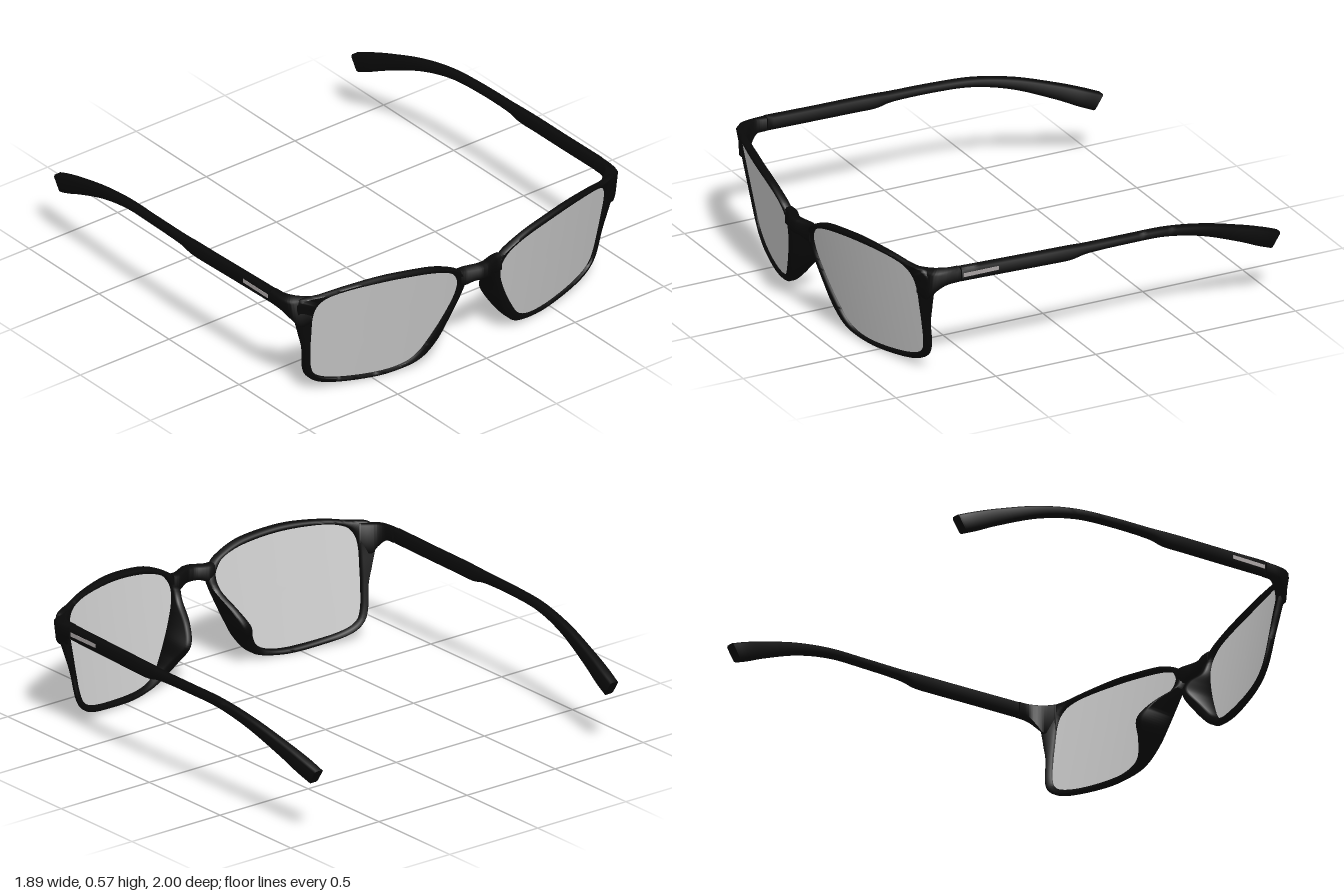
import * as THREE from 'three';
import { toCreasedNormals } from 'three/addons/utils/BufferGeometryUtils.js';

const black = new THREE.MeshStandardMaterial({ color: 0x090909 });
const plateGrey = new THREE.MeshStandardMaterial({ color: 0xa8a2a2 });
const lensGrey = new THREE.MeshStandardMaterial({ color: 0xcccccc, side: THREE.DoubleSide });
const V = (x, y, z) => new THREE.Vector3(x, y, z);

// Front surface of the frame: wraps around the face and leans back downwards.
const bend = (x, y) => 0.98 - 0.23 * x * x + 0.2 * (y - 0.5);

// Rim control points: inner x, y, outer x, y, depth (deeper at the nose pad).
const RIM = [
  [.14, .455, .105, .462, .04], [.18, .49, .15, .5, .04], [.27, .52, .26, .545, .04],
  [.4, .54, .4, .567, .04], [.53, .548, .53, .574, .04], [.68, .542, .68, .563, .036],
  [.77, .52, .79, .543, .034], [.81, .48, .885, .525, .034], [.822, .42, .9, .455, .034],
  [.817, .33, .868, .34, .034], [.81, .24, .842, .25, .032], [.797, .145, .826, .135, .03],
  [.772, .092, .795, .075, .03], [.71, .06, .73, .037, .03], [.6, .039, .61, .015, .034],
  [.45, .027, .45, .003, .04], [.345, .038, .32, .017, .04], [.28, .075, .245, .05, .05],
  [.232, .14, .187, .12, .1], [.19, .21, .15, .2, .16], [.155, .28, .117, .285, .13],
  [.128, .35, .09, .36, .06], [.122, .41, .08, .41, .04],
];

const spline = (points, closed) => new THREE.CatmullRomCurve3(points, closed, 'catmullrom', 0.5);

// Indexed geometry whose faces are turned outwards by the sign of its volume.
function solid(points, index) {
  let volume = 0;
  const cross = V(0, 0, 0);
  for (let i = 0; i < index.length; i += 3) {
    volume += points[index[i]].dot(cross.crossVectors(points[index[i + 1]], points[index[i + 2]]));
  }
  if (volume < 0) index.reverse();
  const g = new THREE.BufferGeometry().setFromPoints(points);
  g.setIndex(index);
  return toCreasedNormals(g, 0.95);
}

// Smooth loft through four-cornered sections with bevelled corners.
function loft(sections, { closed = false, steps = 40, bevel = 0.008, side = 1 } = {}) {
  const rails = [0, 1, 2, 3].map(k => spline(sections.map(s => s[k]), closed));
  const rings = closed ? steps : steps + 1;
  const points = [], index = [];
  for (let i = 0; i < rings; i++) {
    const c = rails.map(r => r.getPoint(i / steps));
    for (let k = 0; k < 4; k++) {
      const a = c[k], b = c[(k + 1) % 4];
      const t = Math.min(0.3, bevel / a.distanceTo(b));
      points.push(a.clone().lerp(b, t), a.clone().lerp(b, 1 - t));
    }
  }
  for (let i = 0; i < steps; i++) {
    const p = i * 8, q = ((i + 1) % rings) * 8;
    for (let k = 0; k < 8; k++) {
      const n = (k + 1) % 8;
      index.push(p + k, p + n, q + n, p + k, q + n, q + k);
    }
  }
  if (!closed) {
    const e = steps * 8;
    for (let k = 1; k < 7; k++) index.push(0, k + 1, k, e, e + k, e + k + 1);
  }
  points.forEach(p => { p.x *= side; });
  return solid(points, index);
}

function rim(side) {
  const sections = RIM.map(([ix, iy, ox, oy, d]) => [
    V(ix, iy, bend(ix, iy)), V(ox, oy, bend(ox, oy)),
    V(ox, oy, bend(ox, oy) - d), V(ix, iy, bend(ix, iy) - d),
  ]);
  return loft(sections, { closed: true, steps: 184, side });
}

// Curved lens filling the rim: concentric rings around its middle.
function lens(side) {
  const edge = spline(RIM.map(([x, y]) => V(x, y, 0)), true);
  const N = 92, R = 10, points = [], index = [];
  for (let r = 0; r <= R; r++) {
    for (let i = 0; i < N; i++) {
      const p = edge.getPoint(i / N), s = 1.008 * r / R;
      const x = 0.48 + (p.x - 0.48) * s, y = 0.29 + (p.y - 0.29) * s;
      points.push(V(x * side, y, bend(x, y) - 0.014));
    }
  }
  for (let r = 0; r < R; r++) {
    for (let i = 0; i < N; i++) {
      const a = r * N + i, b = r * N + (i + 1) % N, c = b + N, d = a + N;
      if (side > 0) index.push(a, d, c); else index.push(a, c, d);
      if (r > 0) { if (side > 0) index.push(a, c, b); else index.push(a, b, c); }
    }
  }
  const g = new THREE.BufferGeometry().setFromPoints(points);
  g.setIndex(index);
  g.computeVertexNormals();
  return g;
}

// Bridge sections: x, top, bottom, front, back.
function bridge() {
  const half = [[.115, .476, .395, .966, .924], [.085, .474, .395, .97, .922],
    [.05, .475, .408, .985, .932], [.025, .477, .411, .995, .942]];
  const rows = [...half.map(([x, ...r]) => [-x, ...r]), [0, .477, .411, .998, .945], ...half.reverse()];
  return loft(rows.map(([x, t, b, f, k]) => [V(x, t, f), V(x, t, k), V(x, b, k), V(x, b, f)]));
}

// End piece turning the corner:
// outer x, z, inner x, z, outer top, inner top, bottom outer x, bottom.
function endPiece(side) {
  const rows = [[.84, .808, .82, .785, .53, .53, .83, .4], [.895, .79, .86, .75, .522, .532, .88, .385],
    [.928, .765, .882, .725, .52, .535, .915, .425], [.939, .715, .895, .69, .522, .535, .937, .46],
    [.939, .642, .895, .642, .527, .532, .939, .465]];
  return loft(rows.map(([ox, oz, ix, iz, ot, it, bx, b]) =>
    [V(ox, ot, oz), V(ix, it, iz), V(ix, b, iz), V(bx, b, oz)]), { side });
}

// Temple: top z, y, bottom z, y, middle x, half width.
function temple(side) {
  const rows = [[.637, .53, .637, .465, .918, .021], [.4, .524, .4, .46, .92, .021],
    [.2, .52, .2, .456, .923, .021], [.09, .517, .09, .455, .923, .021],
    [0, .513, 0, .47, .923, .021], [-.2, .51, -.2, .472, .92, .021],
    [-.4, .501, -.39, .462, .91, .021], [-.6, .465, -.58, .418, .892, .022],
    [-.8, .405, -.77, .343, .866, .024], [-.92, .362, -.88, .292, .849, .026],
    [-1, .33, -.955, .26, .838, .024]];
  return loft(rows.map(([tz, ty, bz, by, x, w]) =>
    [V(x + w, ty, tz), V(x - w, ty, tz), V(x - w, by, bz), V(x + w, by, bz)]),
    { steps: 80, side });
}

export function createModel() {
  const model = new THREE.Group();
  const add = (name, geometry, material = black) => {
    const mesh = new THREE.Mesh(geometry, material);
    mesh.name = name;
    model.add(mesh);
    return mesh;
  };
  add('bridge', bridge());
  for (const [label, side] of [['left', 1], ['right', -1]]) {
    add(label + 'Rim', rim(side));
    add(label + 'Lens', lens(side), lensGrey);
    add(label + 'EndPiece', endPiece(side));
    add(label + 'Temple', temple(side));
    // Hinge core joining end piece and temple
    const hinge = add(label + 'Hinge', new THREE.BoxGeometry(0.02, 0.055, 0.04));
    hinge.position.set(side * 0.917, 0.497, 0.64);
    // Inlaid strip on the outside of the temple
    const plate = add(label + 'TemplePlate', new THREE.BoxGeometry(0.006, 0.018, 0.175), plateGrey);
    plate.position.set(side * 0.939, 0.496, 0.542);
  }
  return model;
}
